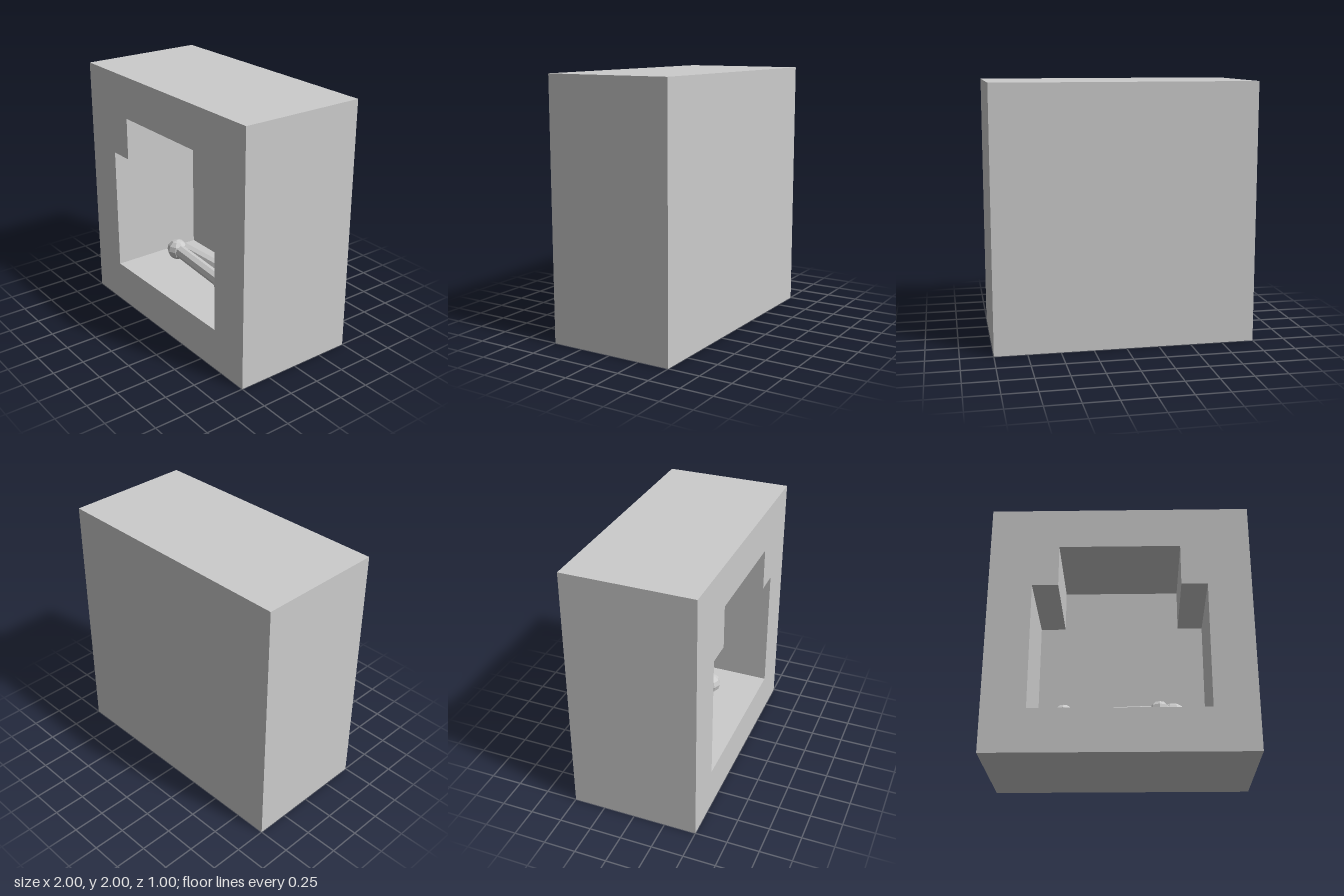
import * as THREE from 'three';

export function createModel() {
  const model = new THREE.Group();
  const stone = new THREE.MeshStandardMaterial({ color: 0xcccccc });
  stone.name = 'grey stone';
  stone.flatShading = true;

  function add(name, geometry, x = 0, y = 0, z = 0) {
    const mesh = new THREE.Mesh(geometry, stone);
    mesh.name = name;
    mesh.position.set(x, y, z);
    model.add(mesh);
    return mesh;
  }

  // Block with a stepped niche opening to the front
  const nicheBack = -0.265;
  const outline = new THREE.Shape([
    [-1, 0], [1, 0], [1, 2], [-1, 2],
  ].map(([x, y]) => new THREE.Vector2(x, y)));
  outline.holes.push(new THREE.Path([
    [-0.667, 0.333], [-0.667, 1.333], [-0.467, 1.333], [-0.467, 1.667],
    [0.467, 1.667], [0.467, 1.333], [0.667, 1.333], [0.667, 0.333],
  ].map(([x, y]) => new THREE.Vector2(x, y))));
  add('nicheBlock', new THREE.ExtrudeGeometry(outline, {
    depth: 0.5 - nicheBack, bevelEnabled: false,
  }), 0, 0, nicheBack);

  // Solid rear of the block
  const rear = nicheBack + 0.5;
  add('backWall', new THREE.BoxGeometry(2, 2, rear), 0, 1, -0.5 + rear / 2);

  // Faceted rod between two points
  function rod(name, from, to, radius) {
    const a = new THREE.Vector3(...from), b = new THREE.Vector3(...to);
    const mid = a.clone().add(b).multiplyScalar(0.5);
    const mesh = add(name, new THREE.CylinderGeometry(radius, radius, a.distanceTo(b), 8), mid.x, mid.y, mid.z);
    mesh.quaternion.setFromUnitVectors(new THREE.Vector3(0, 1, 0), b.sub(a).normalize());
  }

  // Two bones lying on the niche floor, sharing their left end
  const left = [-0.435, 0.435, 0.07];
  const right = [0.295, 0.435, 0.13];
  const far = [0.4, 0.453, -0.04];
  rod('frontBoneShaft', left, right, 0.054);
  rod('rearBoneShaft', [-0.4, 0.435, 0.01], [0.4, 0.437, -0.03], 0.054);
  add('leftKnob', new THREE.SphereGeometry(0.086, 8, 6), ...left);
  add('rightKnob', new THREE.SphereGeometry(0.086, 8, 6), ...right);
  add('largeKnob', new THREE.SphereGeometry(0.115, 10, 8), ...far);

  return model;
}
